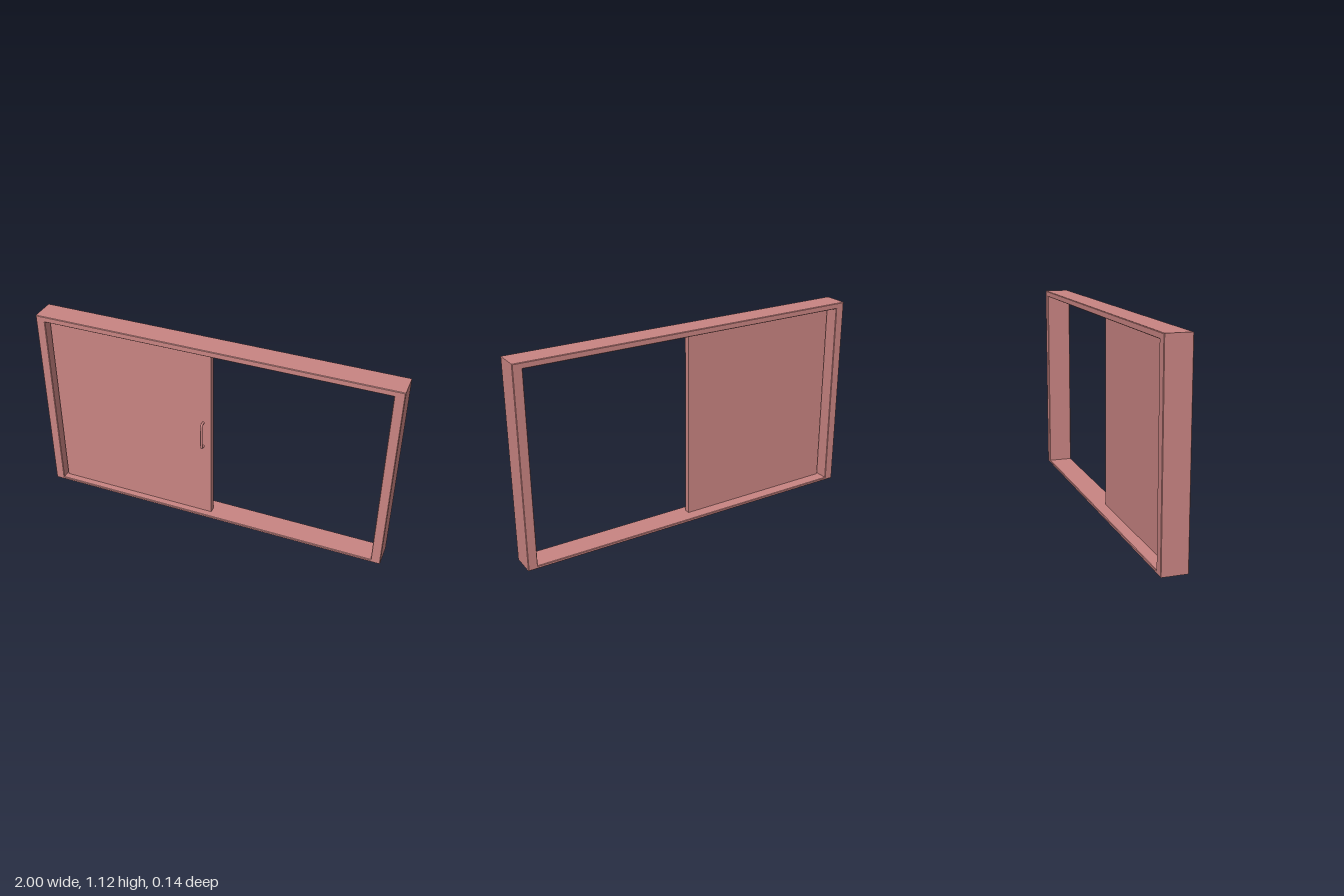
import * as THREE from 'three';

const material = new THREE.MeshStandardMaterial({ color: 0xc98482 });

function add(group, name, geometry, x = 0, y = 0, z = 0) {
  const mesh = new THREE.Mesh(geometry, material);
  mesh.name = name;
  mesh.position.set(x, y, z);
  group.add(mesh);
  return mesh;
}

function rectangle(target, x0, y0, x1, y1) {
  target.moveTo(x0, y0);
  target.lineTo(x1, y0);
  target.lineTo(x1, y1);
  target.lineTo(x0, y1);
  target.closePath();
  return target;
}

export function createModel() {
  const model = new THREE.Group();
  model.name = 'slidingDoor';

  // Deep outer frame with a low sill and finely eased edges
  const depth = 0.14, ease = 0.003;
  const outline = rectangle(new THREE.Shape(), -1, 0, 1, 1.115);
  outline.holes.push(rectangle(new THREE.Path(), -0.948, 0.016, 0.948, 1.083));
  const frame = new THREE.ExtrudeGeometry(outline, {
    depth: depth - 2 * ease,
    bevelEnabled: true,
    bevelThickness: ease,
    bevelSize: ease,
    bevelOffset: -ease,
    bevelSegments: 1,
  });
  add(model, 'frame', frame, 0, 0, -depth / 2 + ease);

  // Sliding panel covering the right half, just clear of the jamb
  const left = -0.939, right = -0.002, bottom = 0.016, top = 1.083;
  add(model, 'slidingPanel', new THREE.BoxGeometry(right - left, top - bottom, 0.033),
    (left + right) / 2, (top + bottom) / 2, 0.0145);

  // Pull handle: a slim bar bent back to the panel at both ends
  const x = -0.047, low = 0.482, high = 0.638, base = 0.03, out = 0.06, bend = 0.012;
  const v = (y, z) => new THREE.Vector3(x, y, z);
  const path = new THREE.CurvePath();
  path.add(new THREE.LineCurve3(v(low, base), v(low, out - bend)));
  path.add(new THREE.QuadraticBezierCurve3(v(low, out - bend), v(low, out), v(low + bend, out)));
  path.add(new THREE.LineCurve3(v(low + bend, out), v(high - bend, out)));
  path.add(new THREE.QuadraticBezierCurve3(v(high - bend, out), v(high, out), v(high, out - bend)));
  path.add(new THREE.LineCurve3(v(high, out - bend), v(high, base)));
  add(model, 'handle', new THREE.TubeGeometry(path, 64, 0.0065, 12));

  return model;
}
